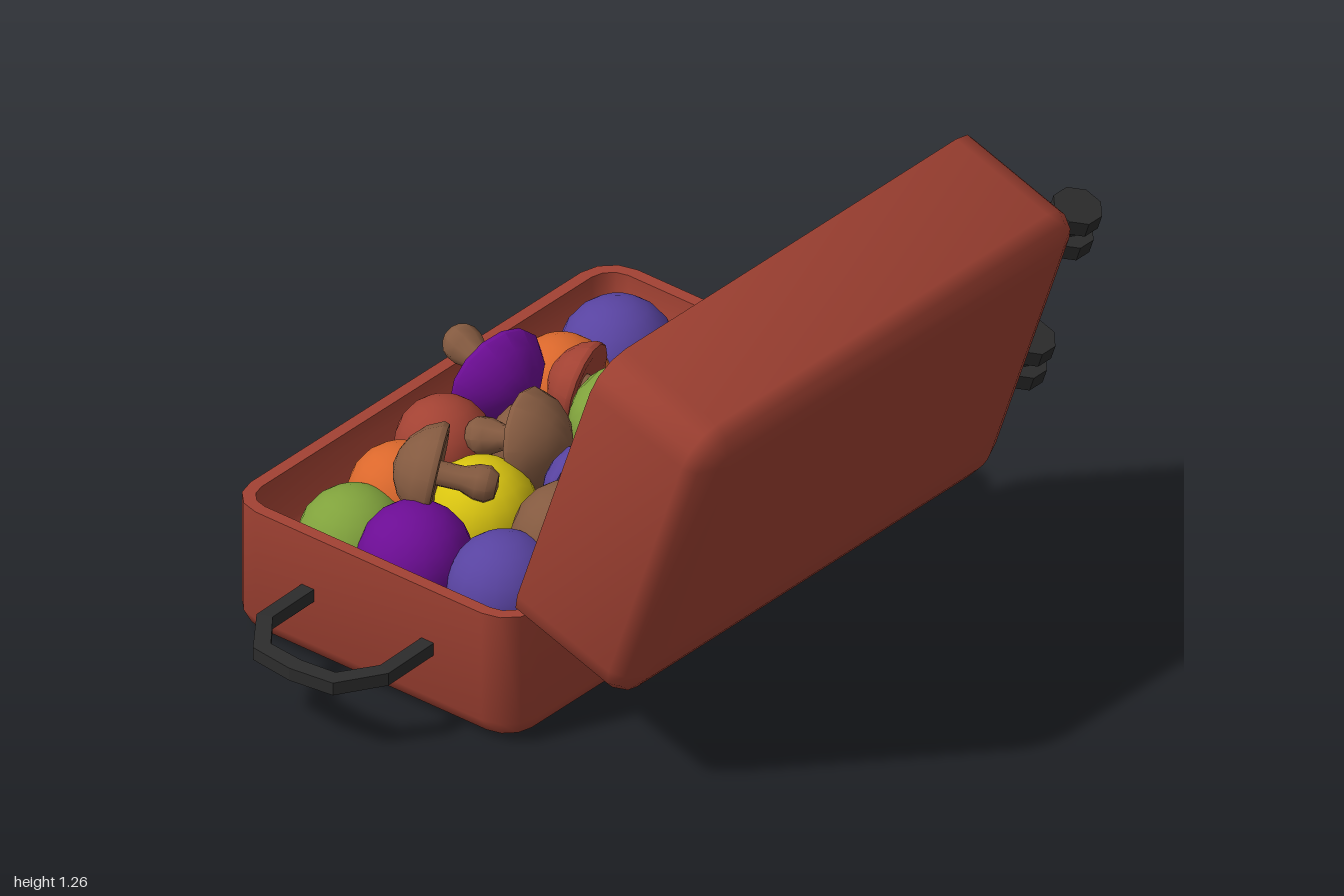
import * as THREE from 'three';
import { toCreasedNormals } from 'three/addons/utils/BufferGeometryUtils.js';

const mat = (name, color) => {
  const m = new THREE.MeshStandardMaterial({ color });
  m.name = name;
  return m;
};
const M = {
  red: mat('brick red', 0xa24233), black: mat('charcoal', 0x2c2c2c),
  brown: mat('brown', 0x845a40), purple: mat('purple', 0x6c0d94),
  blue: mat('violet blue', 0x5843a0), green: mat('green', 0x80a23c),
  orange: mat('orange', 0xdb682c), yellow: mat('yellow', 0xd9c410),
};
const mesh = (name, geo, material, parent, x = 0, y = 0, z = 0) => {
  const m = new THREE.Mesh(geo, material);
  m.name = name;
  m.position.set(x, y, z);
  parent.add(m);
  return m;
};

const HX = 0.4675, HZ = 0.74, DEPTH = 0.375;

// Rounded rectangle ring, inset from the case outline
function ring(inset, y) {
  const r = Math.max(0.1 - inset, 0.03), pts = [];
  if (inset >= HX) return Array.from({ length: 16 }, () => [0, y, 0]);
  for (let c = 0; c < 4; c++) {
    const sx = c === 0 || c === 3 ? 1 : -1, sz = c < 2 ? 1 : -1;
    for (let k = 0; k < 4; k++) {
      const a = (c + k / 3) * Math.PI / 2;
      pts.push([sx * (HX - inset - r) + r * Math.cos(a), y, sz * (HZ - inset - r) + r * Math.sin(a)]);
    }
  }
  return pts;
}

// Hollow half of the case: profile of [inset, height], outside to inside
function shellGeometry() {
  const profile = [[1, 0], [0.14, 0], [0.07, 0], [0.02, 0.022], [0, 0.06], [0, DEPTH],
    [0.035, DEPTH], [0.04, 0.23], [0.065, 0.21], [0.095, 0.175], [1, 0.175]];
  const rings = profile.map(([i, y]) => ring(i, y)), pos = [];
  for (let j = 0; j < rings.length - 1; j++) {
    const a = rings[j], b = rings[j + 1];
    for (let i = 0; i < 16; i++) {
      const n = (i + 1) % 16;
      if (j < rings.length - 2) pos.push(...a[i], ...b[i], ...b[n]);
      else pos.push(...a[i], ...b[i], ...a[n]);
      if (j > 0 && j < rings.length - 2) pos.push(...a[i], ...b[n], ...a[n]);
    }
  }
  const g = new THREE.BufferGeometry();
  g.setAttribute('position', new THREE.Float32BufferAttribute(pos, 3));
  return toCreasedNormals(g, 1.0);
}

// Twin caster on the back end; origin at the mounting plate
function caster(parent, x) {
  const g = new THREE.Group();
  g.name = 'caster';
  g.position.set(x, 0.22, -HZ);
  parent.add(g);
  const cyl = (r1, r2, h, n) => toCreasedNormals(new THREE.CylinderGeometry(r1, r2, h, n), 0.3);
  mesh('casterPlate', cyl(0.075, 0.085, 0.03, 8), M.black, g, 0, 0, -0.014).rotation.x = -Math.PI / 2;
  mesh('casterStem', cyl(0.042, 0.042, 0.09, 8), M.black, g, 0, 0, -0.07).rotation.x = -Math.PI / 2;
  mesh('casterFork', new THREE.BoxGeometry(0.045, 0.06, 0.12), M.black, g, 0, -0.045, -0.115).rotation.x = -0.95;
  mesh('casterAxle', cyl(0.025, 0.025, 0.1, 8), M.black, g, 0, -0.1, -0.15).rotation.z = Math.PI / 2;
  for (const s of [-1, 1]) {
    const w = mesh('wheel', cyl(0.066, 0.066, 0.044, 8), M.black, g, s * 0.043, -0.1, -0.15);
    w.rotation.set(Math.PI / 8, 0, Math.PI / 2, 'XYZ');
  }
}

// One half of the suitcase with its two casters
function caseHalf(name) {
  const g = new THREE.Group();
  g.name = name;
  mesh('shell', shellGeometry(), M.red, g);
  for (const s of [-1, 1]) caster(g, s * 0.235);
  return g;
}

// Carrying handle: flat bent bar drooping slightly at the tip
function handle(parent) {
  const outer = [[0.215, 0.68], [0.215, 0.87], [0.13, 0.985], [0, 1]];
  const inner = [[0, 0.955], [0.105, 0.945], [0.175, 0.855], [0.175, 0.68]];
  const flip = (list) => list.map(([x, z]) => [-x, z]).reverse();
  const path = [...outer, ...flip(outer).slice(1), ...flip(inner), ...inner.slice(1)];
  const shape = new THREE.Shape(path.map(([x, z]) => new THREE.Vector2(x, z)));
  const geo = new THREE.ExtrudeGeometry(shape, { depth: 0.036, bevelEnabled: false });
  geo.rotateX(Math.PI / 2);
  const p = geo.attributes.position;
  for (let i = 0; i < p.count; i++) p.setY(i, p.getY(i) - Math.max(0, p.getZ(i) - 0.8) * 0.07);
  geo.computeVertexNormals();
  mesh('handle', geo, M.black, parent, -0.31, 0.224, 0);
}

const lathe = (pts, n) => toCreasedNormals(
  new THREE.LatheGeometry(pts.map(([x, y]) => new THREE.Vector2(x, y)), n), 0.8);

// Toppled mushroom: cap rim at pos, dome pointing along dir
function mushroom(parent, color, pos, dir, r) {
  const g = new THREE.Group();
  g.name = 'mushroom';
  g.position.set(...pos);
  g.quaternion.setFromUnitVectors(new THREE.Vector3(0, 1, 0), new THREE.Vector3(...dir).normalize());
  g.scale.setScalar(r / 0.14);
  parent.add(g);
  mesh('cap', lathe([[0, 0.005], [0.11, -0.018], [0.135, -0.015], [0.14, 0], [0.118, 0.045],
    [0.08, 0.082], [0.04, 0.102], [0, 0.11]], 14), M[color], g);
  mesh('stem', lathe([[0, -0.18], [0.035, -0.175], [0.052, -0.15], [0.05, -0.12],
    [0.035, -0.08], [0.035, 0]], 9), M.brown, g);
}

export function createModel() {
  const model = new THREE.Group();
  model.name = 'openSuitcase';

  // Lower half lying flat, lid swung open beside it
  const base = caseHalf('base');
  base.position.set(-0.3075, 0, -0.045);
  model.add(base);
  const lid = caseHalf('lid'), angle = 1.242;
  lid.rotation.z = angle;
  lid.position.set(0.295 + DEPTH * Math.sin(angle), 0.82 - DEPTH * Math.cos(angle), -0.045);
  model.add(lid);
  handle(model);

  // Round contents: colour, x, y, z, radius
  const balls = [
    ['blue', -0.55, 0.29, -0.56, 0.15], ['green', -0.35, 0.28, -0.63, 0.135],
    ['brown', -0.22, 0.33, -0.67, 0.065], ['yellow', -0.09, 0.31, -0.6, 0.155],
    ['red', -0.01, 0.3, -0.46, 0.125], ['orange', -0.55, 0.3, -0.34, 0.135],
    ['purple', -0.22, 0.31, -0.36, 0.155], ['orange', 0, 0.31, -0.19, 0.135],
    ['red', -0.57, 0.33, 0.09, 0.125], ['brown', -0.43, 0.3, -0.09, 0.11],
    ['orange', -0.51, 0.32, 0.33, 0.135], ['yellow', -0.32, 0.3, 0.24, 0.145],
    ['brown', -0.025, 0.345, 0.25, 0.15], ['green', -0.51, 0.27, 0.51, 0.145],
    ['purple', -0.31, 0.3, 0.51, 0.148], ['blue', -0.07, 0.28, 0.45, 0.148],
  ];
  for (const [c, x, y, z, r] of balls)
    mesh('roundCap', new THREE.SphereGeometry(r, 18, 12), M[c], model, x, y, z);

  // Mushrooms lying on top
  mushroom(model, 'purple', [-0.6, 0.4, -0.15], [0.94, -0.2, 0.18], 0.14);
  mushroom(model, 'red', [-0.41, 0.4, -0.26], [-0.9, 0.15, 0.25], 0.115);
  mushroom(model, 'green', [-0.21, 0.43, -0.14], [-0.5, 0.25, 0.8], 0.145);
  mushroom(model, 'brown', [-0.32, 0.42, 0.05], [0.9, 0.15, -0.25], 0.135);
  mushroom(model, 'brown', [-0.37, 0.46, 0.37], [-0.75, 0.15, 0.45], 0.13);
  mushroom(model, 'blue', [-0.11, 0.38, 0.09], [-0.95, -0.1, -0.12], 0.13);
  return model;
}
